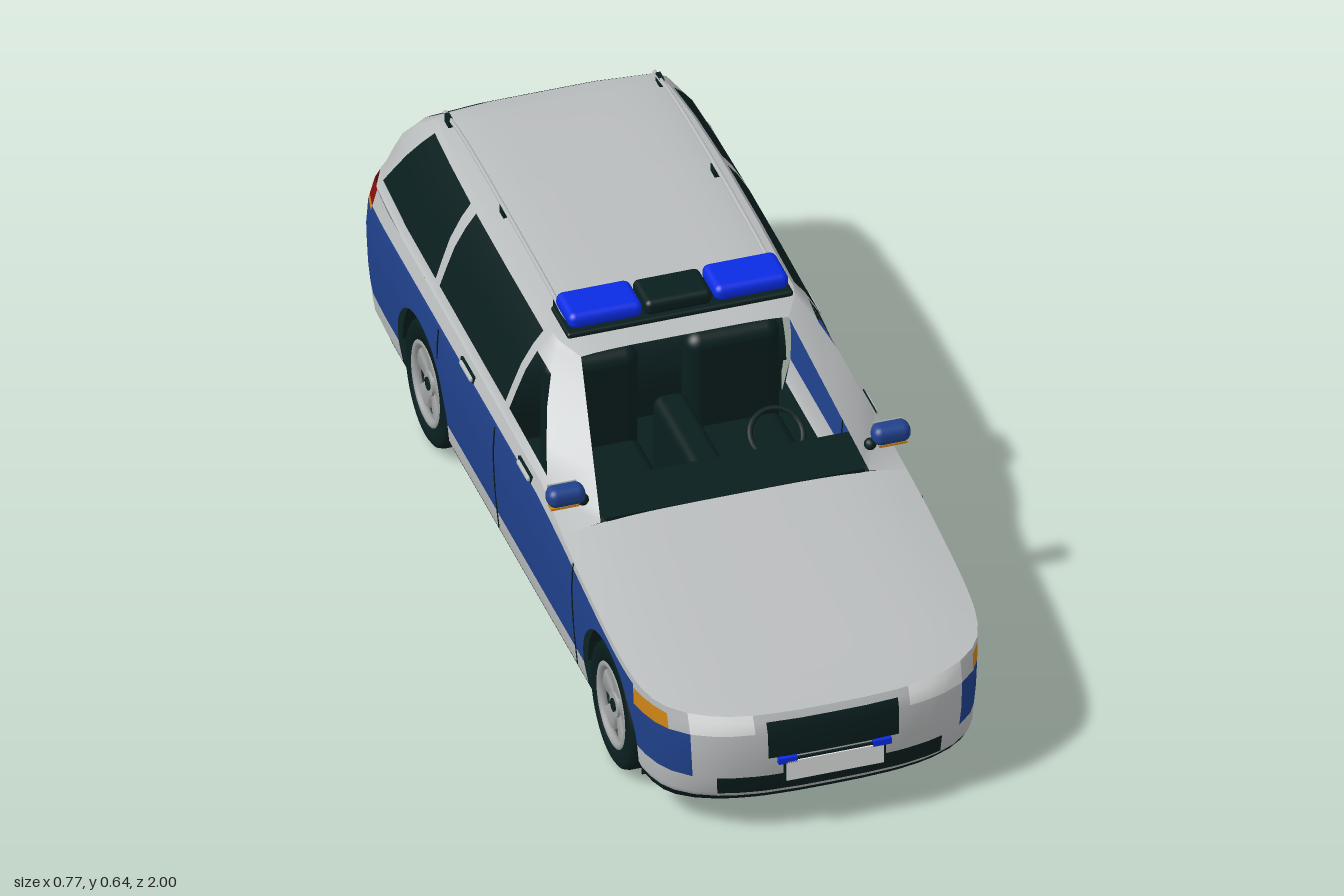
import * as THREE from 'three';
import { mergeVertices } from 'three/addons/utils/BufferGeometryUtils.js';
import { RoundedBoxGeometry } from 'three/addons/geometries/RoundedBoxGeometry.js';

const mat = (name, color) => new THREE.MeshStandardMaterial({ name, color, side: THREE.DoubleSide });
const M = {
  paint: mat('silver paint', 0xbabdbe), blue: mat('blue stripe', 0x20418c), dark: mat('dark trim', 0x0a1e1e),
  beacon: mat('beacon blue', 0x0a2ce4), red: mat('tail light red', 0x840f0f), amber: mat('indicator amber', 0xd08616),
  lamp: mat('headlight white', 0xeceeee), rim: mat('wheel silver', 0xa0a3a3),
};

// Linear lookup in a short [key, value] list with rising keys
function lookup(table, k) {
  if (k <= table[0][0]) return table[0][1];
  for (let i = 1; i < table.length; i++) {
    const [a, va] = table[i - 1], [b, vb] = table[i];
    if (k <= b) return va + (vb - va) * (k - a) / (b - a);
  }
  return table[table.length - 1][1];
}

// Surface from a grid of points, each cell taking its own material (null leaves a hole)
function grid(name, nu, nv, point, cellMat) {
  const pos = [], cells = new Map();
  for (let j = 0; j <= nv; j++) for (let i = 0; i <= nu; i++) pos.push(...point(i, j));
  for (let j = 0; j < nv; j++) for (let i = 0; i < nu; i++) {
    const m = cellMat(i, j);
    if (!m) continue;
    const a = j * (nu + 1) + i, d = a + nu + 1;
    if (!cells.has(m)) cells.set(m, []);
    cells.get(m).push(a, a + 1, d + 1, a, d + 1, d);
  }
  let geo = new THREE.BufferGeometry();
  geo.setAttribute('position', new THREE.Float32BufferAttribute(pos, 3));
  geo.setIndex([...cells.values()].flat());
  let start = 0, n = 0;
  for (const list of cells.values()) { geo.addGroup(start, list.length, n++); start += list.length; }
  geo = mergeVertices(geo, 1e-5);
  geo.computeVertexNormals();
  const mesh = new THREE.Mesh(geo, [...cells.keys()]);
  mesh.name = name;
  return mesh;
}

// Body outline in plan, and how it tucks in with height
const WIDE = 0.373, LONG = 0.995, ARCH = 0.155, AXLES = [0.645, -0.535], AXLE_Y = 0.135;
const power = z => (z > 0 ? 12 : 26);
const side = z => ({ x: WIDE * Math.cbrt(1 - Math.abs(z / LONG) ** power(z)), z });
const end = (x, s) => ({ x, z: s * LONG * (1 - (x / WIDE) ** 3) ** (1 / power(s)) });
const tuckX = [[0.068, 0.93], [0.1, 0.965], [0.2, 0.99], [0.3, 1], [0.35, 0.99], [0.39, 0.955]];
const tuckFront = [[0.068, 0.04], [0.1, 0.012], [0.2, 0], [0.25, 0.005], [0.29, 0.025]];
const tuckRear = [[0.068, 0.035], [0.11, 0.01], [0.2, 0], [0.3, 0.004], [0.39, 0.022]];
const shoulder = [[-1, 0.4], [-0.87, 0.398], [-0.78, 0.39], [0.2, 0.385], [0.36, 0.362], [0.5, 0.345], [0.75, 0.316], [0.87, 0.299], [0.94, 0.289], [1, 0.28]];
const top = z => lookup(shoulder, z);
function bodyPoint({ x, z }, y) {
  const e = THREE.MathUtils.smoothstep(Math.abs(z), 0.82, 1);
  return [x * lookup(tuckX, y), y, z - Math.sign(z) * e * lookup(z > 0 ? tuckFront : tuckRear, y)];
}
function archY(z) {
  for (const c of AXLES) if (Math.abs(z - c) <= ARCH + 1e-6) return 0.14 + Math.sqrt(Math.max(0, ARCH ** 2 - (z - c) ** 2));
  return 0;
}
const mirrored = half => [...half.map(c => ({ ...c, s: 1 })), ...half.slice(0, -1).reverse().map(c => ({ ...c, s: -1 }))];

const archColumns = c => {
  const zs = [c + ARCH + 2e-4];
  for (let k = 0; k <= 16; k++) zs.push(c + ARCH * Math.cos(k * Math.PI / 16));
  return [...zs, c - ARCH - 2e-4].map(side);
};
const HALF = [
  ...[0, 0.07, 0.14, 0.165, 0.21, 0.245, 0.29, 0.325].map(x => end(x, 1)), ...[0.875, 0.835].map(side),
  ...archColumns(AXLES[0]), ...[0.44, 0.36, 0.2, -0.06, -0.3].map(side),
  ...archColumns(AXLES[1]), ...[-0.78, -0.86, -0.91, -0.95].map(side), ...[0.3, 0.27, 0.24, 0.18, 0.12, 0].map(x => end(x, -1)),
];

function lowerBody(car) {
  const cols = mirrored(HALF), levels = [0.068, 0.085, 0.1, 0.14, 0.185, 0.245, 0.285, 0.348, 0.358];
  car.add(grid('lowerBody', cols.length - 1, 9, (i, j) => {
    const c = cols[i], t = top(c.z);
    const y = j === 9 ? t : Math.max(archY(c.z), Math.min(levels[j], t - 0.015));
    const [x, py, z] = bodyPoint(c, y);
    return [c.s * x, py, z];
  }, (i, j) => {
    const a = cols[i], b = cols[i + 1], x = (a.x + b.x) / 2, z = (a.z + b.z) / 2;
    if (j === 0) return M.dark;
    if (z > 0.8) {
      if (x < 0.245 && j === 2) return M.dark;                 // lower intake
      if (x < 0.14 && (j === 4 || j === 5)) return M.dark;     // grille
      if (x > 0.165 && x < 0.29 && j >= 5) return M.lamp;      // headlight
      if (x > 0.325 && j === 5) return M.amber;
      return x > 0.29 && (j === 3 || j === 4) ? M.blue : M.paint;
    }
    if (z < -0.86 && x > 0.24 && j >= 7) return j === 7 ? M.amber : M.red;
    return z > -0.95 && j >= 3 && j <= 7 ? M.blue : M.paint;
  }));
  // Bonnet, crowned between the two shoulders
  const hood = HALF.filter(c => c.z >= 0.36);
  car.add(grid('bonnet', 16, hood.length - 1, (i, j) => {
    const t = i / 8 - 1, c = hood[j], [x, y, z] = bodyPoint(c, top(c.z));
    const crown = lookup([[0.36, 0.024], [0.85, 0.013], [0.97, 0.004], [0.995, 0]], c.z);
    return [x * t, y + crown * (1 - t ** 4), z];
  }, () => M.paint));
  // Floor, narrowed between the wheels
  car.add(grid('floor', 2, HALF.length - 1, (i, j) => {
    const c = HALF[j], [x, y, z] = bodyPoint(c, 0.068);
    return [(1 - i) * (archY(c.z) ? 0.255 : x), y, z];
  }, () => M.dark));
}

function cabin(car) {
  // Columns: plan point, then the roof edge x, y, z
  const half = [
    [side(0.36), 0.22, 0.557, 0.04], [side(0.22), 0.25, 0.57, -0.01], [side(-0.04), 0.255, 0.577, -0.035],
    [side(-0.065), 0.255, 0.577, -0.062], [side(-0.28), 0.257, 0.58, -0.28], [side(-0.485), 0.256, 0.58, -0.487],
    [side(-0.51), 0.255, 0.58, -0.525], [side(-0.7), 0.25, 0.577, -0.67], [side(-0.87), 0.242, 0.57, -0.785],
    [side(-0.945), 0.235, 0.566, -0.822], [end(0.265, -1), 0.225, 0.565, -0.838],
    [end(0.13, -1), 0.11, 0.567, -0.846], [end(0, -1), 0, 0.567, -0.846],
  ].map(([p, x, y, z], k) => ({ p, x, y, z, k }));
  const cols = mirrored(half), rows = [-1, 0, 0.08, 0.3, 0.55, 0.78, 0.93, 1];
  car.add(grid('cabinSides', cols.length - 1, 7, (i, j) => {
    const c = cols[i], v = rows[j], edge = bodyPoint(c.p, top(c.p.z));
    if (v < 0) return [c.s * edge[0], edge[1], edge[2]];
    const base = c.k === 0 ? [0.285, 0.378, 0.36] : [edge[0] * 0.985, edge[1] + 0.004, edge[2]];
    const bulge = Math.sin(Math.PI * v ** 1.4);
    const l = (a, b) => a + (b - a) * v;
    return [c.s * (l(base[0], c.x) + (c.k > 0 && c.k < 12 ? 0.014 * bulge : 0)), l(base[1], c.y),
      l(base[2], c.z) - (c.k >= 9 ? 0.03 : 0) * bulge];
  }, (i, j) => {
    const k = Math.min(cols[i].k, cols[i + 1].k);
    if (j < 2 || j > 5 || [0, 2, 5, 8, 9].includes(k)) return M.paint;
    if (k === 1) return j === 5 ? M.paint : null;              // front door windows are open
    return M.dark;
  }));
  const crowns = [0.006, 0.012, 0.013, 0.013, 0.014, 0.014, 0.014, 0.013, 0.012, 0.007, 0.003, 0, 0];
  car.add(grid('roof', 16, half.length - 1, (i, j) => {
    const t = i / 8 - 1, c = half[j];
    return [c.x * t, c.y + crowns[j] * (1 - Math.abs(t) ** 5), c.z];
  }, () => M.paint));
}

function wheel(s, z) {
  const g = new THREE.Group();
  g.name = 'wheel';
  const put = (name, geo, m, y = 0) => {
    const o = new THREE.Mesh(geo, m);
    o.name = name; o.position.y = y; g.add(o);
    return o;
  };
  const profile = [[0.084, -0.047], [0.124, -0.047], [0.132, -0.042], [0.135, -0.032], [0.135, 0.032], [0.132, 0.042], [0.124, 0.047], [0.092, 0.046], [0.086, 0.025]];
  put('tyre', new THREE.LatheGeometry(profile.map(p => new THREE.Vector2(...p)), 40), M.dark);
  put('wheelDisc', new THREE.CylinderGeometry(0.088, 0.088, 0.05, 32), M.dark, -0.015);
  put('rim', new THREE.TorusGeometry(0.086, 0.01, 8, 40), M.rim, 0.038).rotation.x = Math.PI / 2;
  for (let k = 0; k < 5; k++) {
    const arm = new THREE.CylinderGeometry(0.02, 0.036, 0.065, 4, 1).rotateY(Math.PI / 4).scale(0.35, 1, 1);
    arm.rotateZ(Math.PI / 2).translate(0.053, 0, 0).rotateY(k * Math.PI * 0.4);
    put('spoke', arm, M.rim, 0.03);
  }
  put('hub', new THREE.CylinderGeometry(0.026, 0.03, 0.02, 20), M.rim, 0.03);
  put('hubCap', new THREE.CylinderGeometry(0.014, 0.014, 0.004, 16), M.dark, 0.041);
  g.rotation.z = -s * Math.PI / 2;
  g.position.set(s * 0.3125, AXLE_Y, z);
  return g;
}

export function createModel() {
  const car = new THREE.Group();
  car.name = 'patrolCar';
  const add = (name, geo, m, x, y, z) => {
    const o = new THREE.Mesh(geo, m);
    o.name = name; o.position.set(x, y, z); car.add(o);
    return o;
  };
  const box = (name, m, w, h, d, x, y, z, r = 0) =>
    add(name, r ? new RoundedBoxGeometry(w, h, d, 4, r) : new THREE.BoxGeometry(w, h, d), m, x, y, z);
  const tube = (name, m, pts, r) =>
    add(name, new THREE.TubeGeometry(new THREE.CatmullRomCurve3(pts.map(p => new THREE.Vector3(...p))), 24, r, 6), m, 0, 0, 0);

  lowerBody(car);
  cabin(car);

  // Wheels and the arch linings across the car
  for (const z of AXLES) {
    for (const s of [-1, 1]) {
      car.add(wheel(s, z));
      box('archWall', M.dark, 0.69, 0.074, 0.002, 0, 0.104, z + s * (ARCH + 0.001));
    }
    const lining = new THREE.CylinderGeometry(ARCH + 0.001, ARCH + 0.001, 0.71, 32, 1, true, 0, Math.PI).rotateZ(Math.PI / 2);
    add('archLining', lining, M.dark, 0, 0.14, z);
  }

  // Light bar
  box('lightBarBase', M.dark, 0.48, 0.013, 0.11, 0, 0.592, -0.04, 0.006);
  box('lightBarCentre', M.dark, 0.142, 0.034, 0.095, 0, 0.615, -0.04, 0.013);

  for (const s of [-1, 1]) {
    box('beacon', M.beacon, 0.158, 0.036, 0.1, s * 0.155, 0.618, -0.04, 0.016);
    // Roof rails on three feet
    tube('roofRail', M.paint, [[s * 0.225, 0.59, 0.0], [s * 0.225, 0.602, -0.1], [s * 0.225, 0.608, -0.42], [s * 0.223, 0.6, -0.7], [s * 0.222, 0.584, -0.82]], 0.005);
    for (const [y, z] of [[0.592, -0.1], [0.595, -0.44], [0.584, -0.79]]) box('railFoot', M.dark, 0.01, 0.02, 0.026, s * 0.224, y, z);
    // Door mirrors
    box('mirror', M.blue, 0.08, 0.042, 0.045, s * 0.345, 0.43, 0.315, 0.018);
    box('mirrorGlass', M.rim, 0.062, 0.028, 0.004, s * 0.345, 0.43, 0.292);
    box('mirrorIndicator', M.amber, 0.06, 0.005, 0.02, s * 0.348, 0.405, 0.315);
    add('mirrorMount', new THREE.SphereGeometry(0.013, 12, 8), M.dark, s * 0.305, 0.403, 0.305);
    // Door seams and handles
    for (const z of [0.44, -0.06, -0.418]) {
      const ys = [0.1, 0.16, 0.22, 0.28, 0.32, 0.35].filter(y => y > archY(z));
      tube('doorSeam', M.dark, ys.map(y => { const [x, , pz] = bodyPoint(side(z), y); return [s * x, y, pz]; }), 0.002);
    }
    for (const z of [0.12, -0.245]) {
      box('handleRecess', M.dark, 0.012, 0.02, 0.08, s * 0.361, 0.363, z);
      box('doorHandle', M.paint, 0.012, 0.011, 0.07, s * 0.367, 0.364, z, 0.004);
    }
    // Front seats
    box('seatBack', M.dark, 0.2, 0.28, 0.07, s * 0.15, 0.31, -0.12, 0.03);
    box('seatCushion', M.dark, 0.2, 0.07, 0.2, s * 0.15, 0.2, -0.01, 0.03);
    box('headrest', M.dark, 0.1, 0.065, 0.04, s * 0.152, 0.495, -0.13, 0.018);
    box('grilleLight', M.beacon, 0.04, 0.013, 0.012, s * 0.1, 0.179, 0.994);
    box('tailgateTrim', M.dark, 0.08, 0.01, 0.006, s * 0.165, 0.282, -0.99);
  }

  // Cabin interior
  box('dashboard', M.dark, 0.62, 0.09, 0.15, 0, 0.33, 0.275, 0.02);
  box('console', M.dark, 0.07, 0.2, 0.3, 0, 0.25, 0.08, 0.02);
  add('steeringWheel', new THREE.TorusGeometry(0.055, 0.006, 8, 28), M.dark, 0.15, 0.375, 0.175).rotation.x = -0.9;
  box('rearBench', M.dark, 0.6, 0.13, 0.08, 0, 0.37, -0.5, 0.03);
  const lining = new THREE.Shape([[-0.3, 0.39], [0.3, 0.39], [0.27, 0.5], [0.235, 0.56], [-0.235, 0.56], [-0.27, 0.5]].map(p => new THREE.Vector2(...p)));
  add('rearLining', new THREE.ShapeGeometry(lining), M.dark, 0, 0, -0.77);
  box('highBrakeLight', M.red, 0.12, 0.006, 0.01, 0, 0.53, -0.763);
  box('windscreenSill', M.dark, 0.55, 0.008, 0.02, 0, 0.383, 0.352);

  // Number plates
  box('frontPlateFrame', M.dark, 0.216, 0.056, 0.006, 0, 0.153, 0.994);
  box('frontPlate', M.lamp, 0.206, 0.046, 0.006, 0, 0.153, 0.997);
  box('rearPlateFrame', M.dark, 0.22, 0.066, 0.008, 0, 0.255, -0.993);
  box('rearPlate', M.lamp, 0.206, 0.052, 0.006, 0, 0.255, -0.997);
  return car;
}
